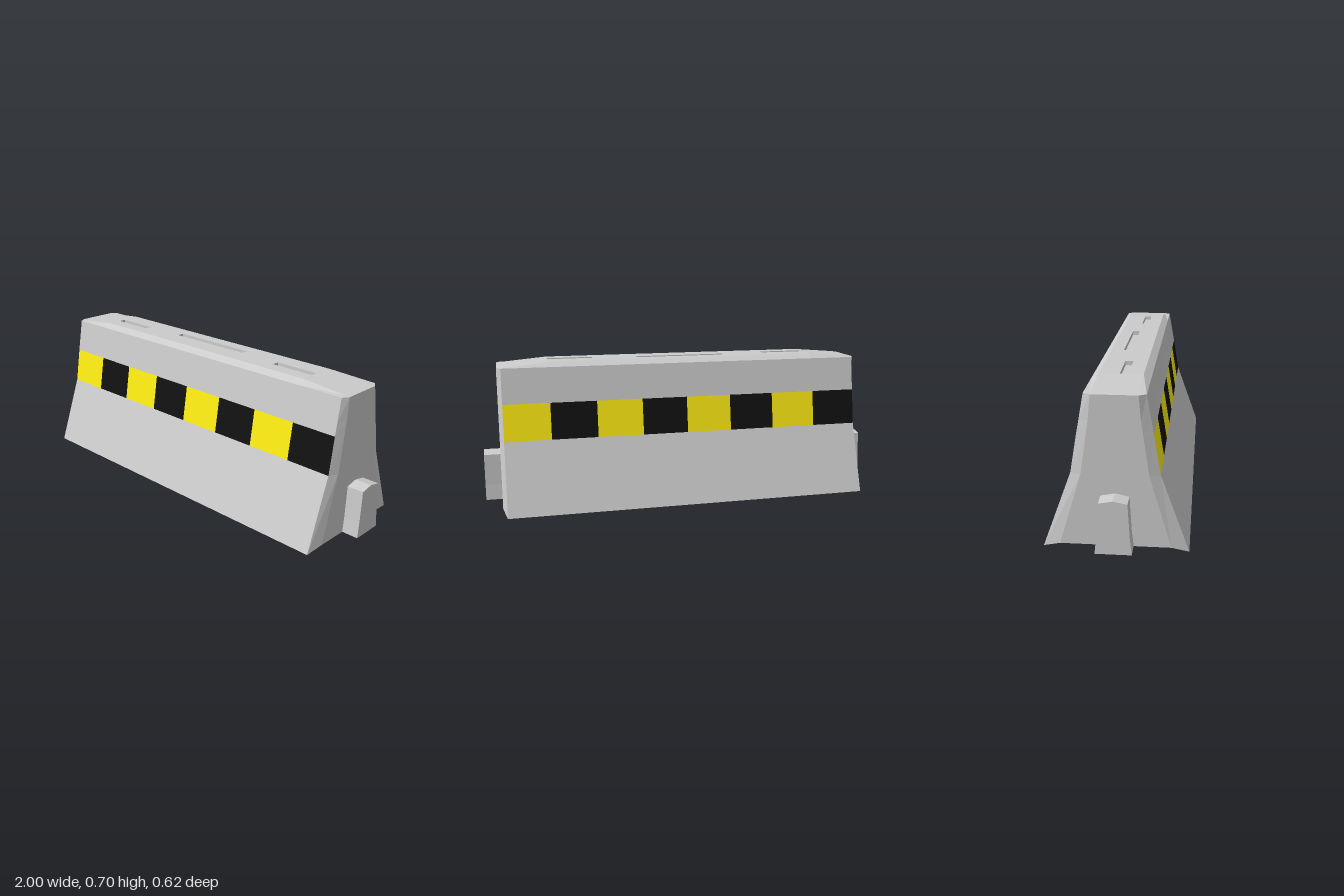
import * as THREE from 'three';

const grey = new THREE.MeshStandardMaterial({ color: 0xcccccc, flatShading: true });
const yellow = new THREE.MeshStandardMaterial({ color: 0xffee12, flatShading: true });
const black = new THREE.MeshStandardMaterial({ color: 0x111111, flatShading: true });

// Half cross-sections as [z, y], from the middle of the underside up to the middle of the top
const endSection = [[0, 0.025], [0.235, 0.025], [0.235, 0.025], [0.142, 0.34], [0.116, 0.515], [0.107, 0.575], [0.097, 0.683], [0.097, 0.683], [0, 0.683]];
const section = (topY) => [[0, 0.025], [0.235, 0.025], [0.31, 0], [0.187, 0.34], [0.158, 0.515], [0.147, 0.575], [0.128, 0.683], [0.097, topY], [0, topY]];
const TOP = 0.705, FLAT = 0.675, SIDE = 0.9, END = 0.92;
const STRIPE_BAND = 3;
const stations = [
  [-END, endSection], [-SIDE, section(0.685)], [-FLAT, section(TOP)],
  [FLAT, section(TOP)], [SIDE, section(0.685)], [END, endSection],
];

function quad(out, a, b, c, d) {
  for (const t of [[a, b, c], [a, c, d]]) {
    const [p, q, r] = t.map((v) => new THREE.Vector3(...v));
    // skip collapsed triangles
    if (q.sub(p).cross(r.sub(p)).length() > 1e-7) out.push(...t.flat());
  }
}

function surface(name, positions, material) {
  const g = new THREE.BufferGeometry();
  g.setAttribute('position', new THREE.Float32BufferAttribute(positions, 3));
  g.computeVertexNormals();
  const mesh = new THREE.Mesh(g, material);
  mesh.name = name;
  return mesh;
}

// One long half of the barrier, facing +z
function barrierHalf() {
  const half = new THREE.Group();
  const out = [];
  const at = (x, [z, y]) => [x, y, z];
  for (let s = 0; s < stations.length - 1; s++) {
    const [xa, A] = stations[s], [xb, B] = stations[s + 1];
    for (let i = 0; i < A.length - 1; i++) {
      const painted = i === STRIPE_BAND && s > 0 && s < 4;
      const deck = i === A.length - 2 && s === 2;
      if (painted || deck) continue;
      quad(out, at(xa, A[i]), at(xb, B[i]), at(xb, B[i + 1]), at(xa, A[i + 1]));
    }
  }
  // end walls
  for (let i = 1; i < endSection.length - 2; i++) {
    const [z0, y0] = endSection[i], [z1, y1] = endSection[i + 1];
    quad(out, [END, y0, z0], [END, y0, 0], [END, y1, 0], [END, y1, z1]);
    quad(out, [-END, y0, 0], [-END, y0, z0], [-END, y1, z1], [-END, y1, 0]);
  }
  half.add(surface('barrierBody', out, grey));

  // warning stripes, alternating along the side
  const [z0, y0] = section(TOP)[STRIPE_BAND], [z1, y1] = section(TOP)[STRIPE_BAND + 1];
  const w = (2 * SIDE) / 8;
  for (let k = 0; k < 8; k++) {
    const xa = -SIDE + k * w, xb = xa + w, stripe = [];
    quad(stripe, [xa, y0, z0], [xb, y0, z0], [xb, y1, z1], [xa, y1, z1]);
    half.add(surface(k % 2 ? 'blackStripe' : 'yellowStripe', stripe, k % 2 ? black : yellow));
  }

  // connector tab on the +x end
  const shape = new THREE.Shape([[-0.077, 0.025], [-0.069, 0.1], [-0.06, 0.25], [0, 0.262], [0.06, 0.25], [0.069, 0.1], [0.077, 0.025]]
    .map(([x, y]) => new THREE.Vector2(x, y)));
  const tab = new THREE.Mesh(new THREE.ExtrudeGeometry(shape, { depth: 1 - END, bevelEnabled: false }), grey);
  tab.name = 'connectorTab';
  tab.rotation.y = Math.PI / 2;
  tab.position.x = END;
  half.add(tab);
  return half;
}

// Flat top with three recessed slots, each [x0, x1, z0, z1]
function topDeck() {
  const group = new THREE.Group();
  group.name = 'topDeck';
  const slots = [[-0.672, -0.448, -0.005, 0.031], [-0.226, 0.226, -0.036, 0], [0.448, 0.672, -0.005, 0.031]];
  const rect = (P, x0, x1, z0, z1) => new P([[x0, -z1], [x1, -z1], [x1, -z0], [x0, -z0]].map(([x, y]) => new THREE.Vector2(x, y)));
  const shape = rect(THREE.Shape, -FLAT, FLAT, -0.097, 0.097);
  const depth = 0.02, low = TOP - depth;
  for (const [x0, x1, z0, z1] of slots) {
    shape.holes.push(rect(THREE.Path, x0, x1, z0, z1));
    const pit = [];
    quad(pit, [x0, low, z1], [x1, low, z1], [x1, low, z0], [x0, low, z0]);
    quad(pit, [x0, low, z0], [x1, low, z0], [x1, TOP, z0], [x0, TOP, z0]);
    quad(pit, [x1, low, z1], [x0, low, z1], [x0, TOP, z1], [x1, TOP, z1]);
    quad(pit, [x0, low, z1], [x0, low, z0], [x0, TOP, z0], [x0, TOP, z1]);
    quad(pit, [x1, low, z0], [x1, low, z1], [x1, TOP, z1], [x1, TOP, z0]);
    group.add(surface('slotRecess', pit, grey));
  }
  const deck = new THREE.Mesh(new THREE.ShapeGeometry(shape), grey);
  deck.name = 'deckPlate';
  deck.rotation.x = -Math.PI / 2;
  deck.position.y = TOP;
  group.add(deck);
  return group;
}

export function createModel() {
  const model = new THREE.Group();
  model.name = 'roadBarrier';
  const front = barrierHalf();
  front.name = 'frontHalf';
  const back = barrierHalf();
  back.name = 'backHalf';
  back.rotation.y = Math.PI;
  model.add(front, back, topDeck());
  return model;
}
